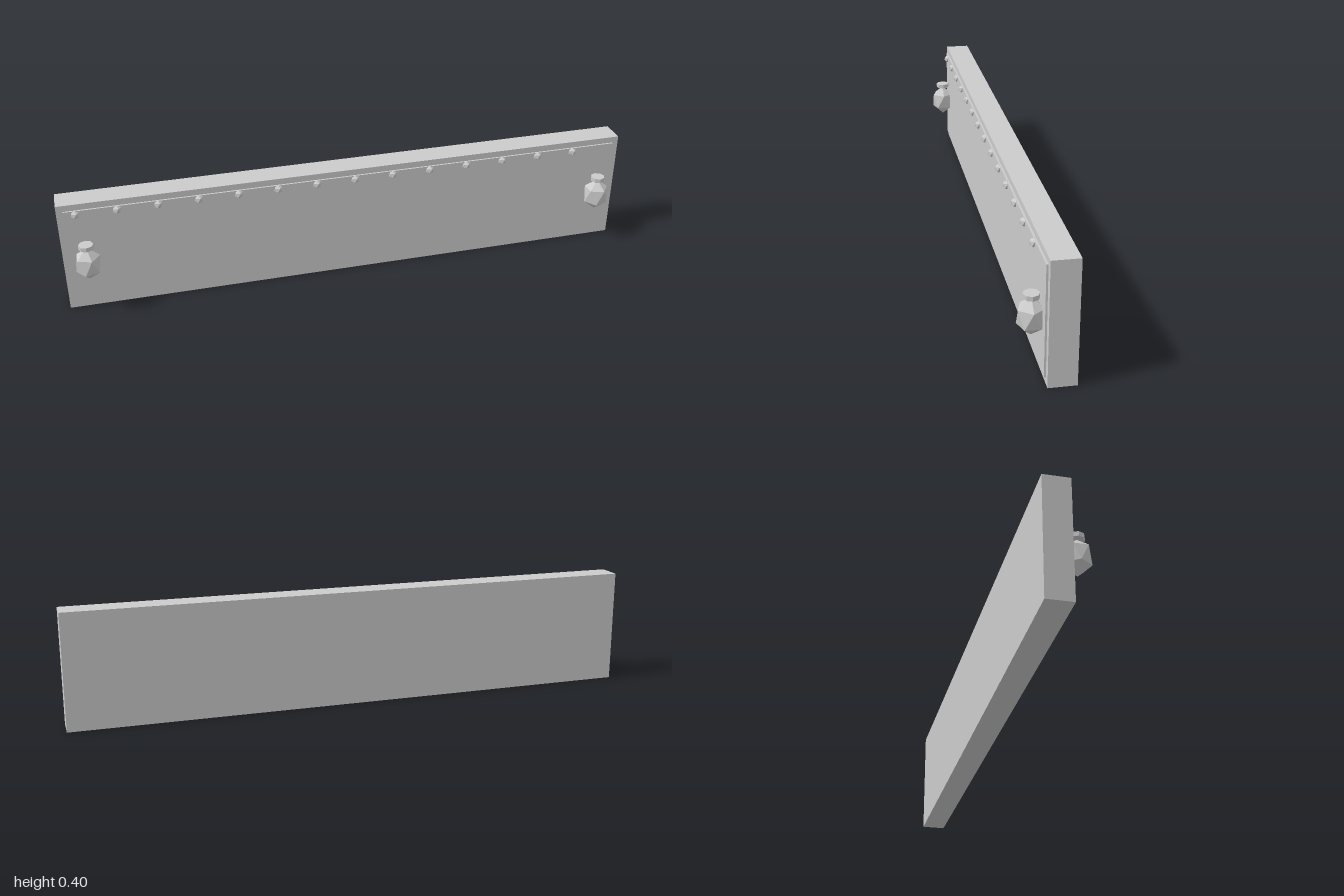
import * as THREE from 'three';

const material = new THREE.MeshStandardMaterial({ color: 0xcccccc, flatShading: true });

function add(parent, name, geometry, x, y, z) {
  const mesh = new THREE.Mesh(geometry, material);
  mesh.name = name;
  mesh.position.set(x, y, z);
  parent.add(mesh);
  return mesh;
}

// Icosahedron standing on a corner, with one upper-ring corner towards +x
function gem(radius, height = radius) {
  const geometry = new THREE.IcosahedronGeometry(radius, 0);
  geometry.rotateZ(-Math.atan(2 / (1 + Math.sqrt(5))));
  geometry.scale(1, height / radius, 1);
  return geometry;
}

export function createModel() {
  const model = new THREE.Group();
  model.name = 'signBoard';

  // Board with a slightly raised, inset front panel
  add(model, 'board', new THREE.BoxGeometry(2, 0.4, 0.087), 0, 0.2, -0.0365);
  add(model, 'frontPanel', new THREE.BoxGeometry(1.956, 0.356, 0.012), 0, 0.2, 0.007);

  // Row of small bulbs along the top edge
  const bulbGeometry = gem(0.0155);
  for (let i = 0; i < 14; i++) {
    add(model, 'bulb', bulbGeometry, -0.94 + i * 0.1353, 0.365, 0.013);
  }

  // Capped lantern near each end
  const lanternGeometry = gem(0.0473, 0.06);
  const capGeometry = new THREE.CylinderGeometry(0.025, 0.025, 0.015, 8);
  for (const side of [-1, 1]) {
    const lantern = new THREE.Group();
    lantern.name = side > 0 ? 'leftLantern' : 'rightLantern';
    lantern.position.set(side * 0.92, 0.19, 0.04);
    add(lantern, 'lanternBody', lanternGeometry, 0, 0, 0);
    add(lantern, 'lanternCap', capGeometry, 0, 0.0655, 0);
    model.add(lantern);
  }

  return model;
}
